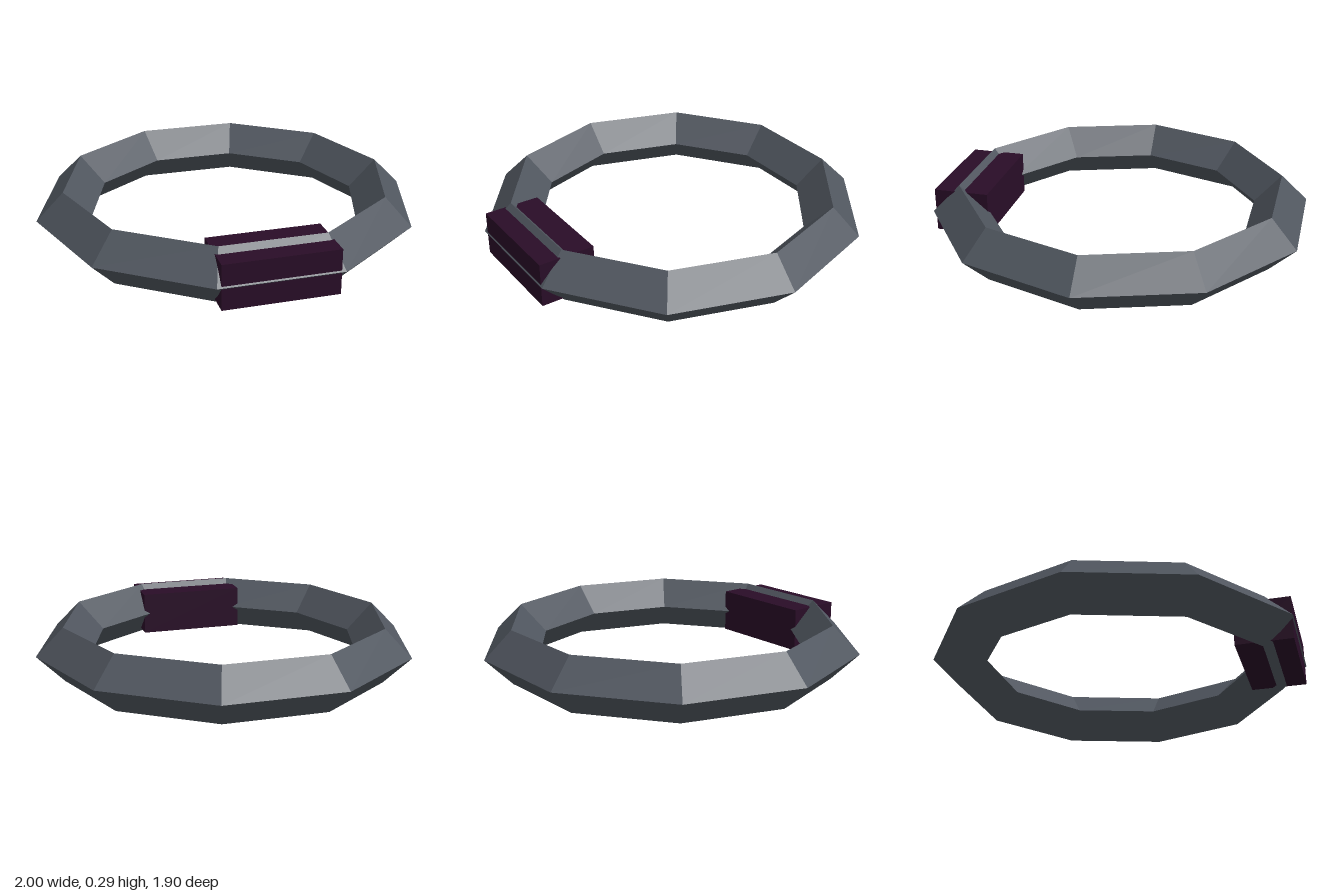
import * as THREE from 'three';

export function createModel() {
  const model = new THREE.Group();
  model.name = 'ringWithClasp';

  const slate = new THREE.MeshStandardMaterial({ color: 0x50565f });
  slate.name = 'slateGrey';
  const plum = new THREE.MeshStandardMaterial({ color: 0x290d27 });
  plum.name = 'darkPlum';

  const ringRadius = 0.857;
  const tubeRadius = 0.143;

  // Ten-sided ring with a diamond cross-section, lying flat, faceted normals
  const ringGeometry = new THREE.TorusGeometry(ringRadius, tubeRadius, 4, 10)
    .rotateX(Math.PI / 2)
    .toNonIndexed();
  ringGeometry.computeVertexNormals();
  const ring = new THREE.Mesh(ringGeometry, slate);
  ring.name = 'ring';
  ring.position.y = tubeRadius;
  model.add(ring);

  // Clasp block around the front segment; the ring's ridges poke through it
  const clasp = new THREE.Mesh(new THREE.BoxGeometry(0.574, 0.23, 0.29), plum);
  clasp.name = 'clasp';
  clasp.position.set(0, tubeRadius, 0.8);
  model.add(clasp);

  return model;
}
